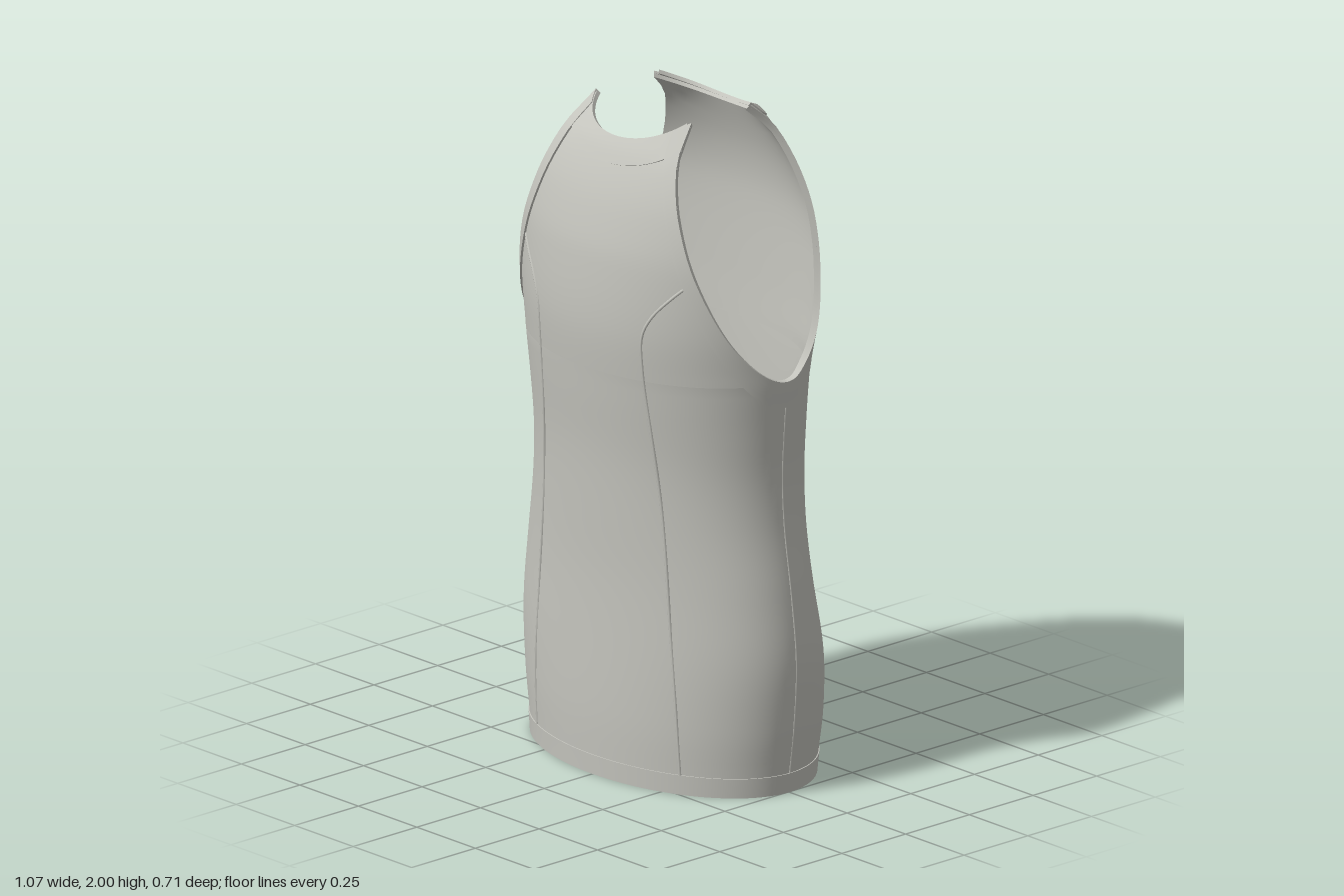
import * as THREE from 'three';
import { toCreasedNormals } from 'three/addons/utils/BufferGeometryUtils.js';

// Smooth curve through [y, value] stations
function profile(stations) {
  const n = stations.length;
  const slope = i => {
    const a = stations[Math.max(i - 1, 0)], b = stations[Math.min(i + 1, n - 1)];
    return (b[1] - a[1]) / (b[0] - a[0]);
  };
  return y => {
    let i = 0;
    while (i < n - 2 && y > stations[i + 1][0]) i++;
    const [y0, v0] = stations[i], [y1, v1] = stations[i + 1];
    const h = y1 - y0, t = (y - y0) / h, t2 = t * t, t3 = t2 * t;
    return (2 * t3 - 3 * t2 + 1) * v0 + (t3 - 2 * t2 + t) * h * slope(i)
      + (3 * t2 - 2 * t3) * v1 + (t3 - t2) * h * slope(i + 1);
  };
}

// Half width of the body, then of the front and back panels above the armpit
const body = [[0, 0.5], [0.06, 0.505], [0.2, 0.523], [0.4, 0.534], [0.6, 0.513], [0.8, 0.483],
  [0.95, 0.474], [1.1, 0.482], [1.2, 0.491], [1.25, 0.496], [1.3, 0.499]];
const widths = {
  front: profile([...body, [1.4, 0.508], [1.5, 0.513], [1.6, 0.515], [1.7, 0.505], [1.8, 0.475],
    [1.9, 0.4], [1.95, 0.32], [2, 0.258]]),
  back: profile([...body, [1.4, 0.525], [1.5, 0.545], [1.6, 0.56], [1.7, 0.545], [1.8, 0.485],
    [1.9, 0.39], [1.95, 0.315], [2, 0.25]]),
};
const depths = {
  front: profile([[0, 0.308], [0.2, 0.314], [0.6, 0.309], [0.8, 0.314], [1, 0.323], [1.2, 0.342],
    [1.4, 0.356], [1.6, 0.343], [1.7, 0.323], [1.8, 0.293], [1.9, 0.247], [1.95, 0.21], [2, 0.16]]),
  back: profile([[0, 0.335], [0.1, 0.347], [0.2, 0.354], [0.35, 0.343], [0.6, 0.292], [0.75, 0.281],
    [1, 0.289], [1.2, 0.295], [1.4, 0.305], [1.6, 0.311], [1.7, 0.308], [1.8, 0.29], [1.9, 0.256],
    [1.95, 0.232], [2, 0.185]]),
};
const THICK = 0.014, BAND = 0.04;
const armLine = y => 0.5 - (y - 1.25) * 0.4;          // slanted armhole plane
const neckY = s => 1.935 + 0.06 * s * s;               // scooped neckline, s = -1..1

// Point on a panel, pushed out along its normal by off
function pointOn(side, theta, y, off = 0) {
  const sign = side === 'front' ? 1 : -1;
  const at = (t, h) => new THREE.Vector3(
    widths[side](h) * Math.sin(t), h, sign * depths[side](h) * Math.cos(t));
  const e = 0.002;
  const du = at(theta + e, y).sub(at(theta - e, y));
  const dv = at(theta, y + e).sub(at(theta, y - e));
  const p = at(theta, y).addScaledVector(du.cross(dv).normalize(), sign * off);
  p.y = Math.max(p.y, 0);
  return p;
}

const angleAt = (side, x, y) => Math.asin(Math.min(1, Math.max(-1, x / widths[side](y))));

// Height at which a line d inside the armhole meets the side seam
function armpit(d) {
  let lo = 1, hi = 1.35;
  for (let i = 0; i < 40; i++) {
    const m = (lo + hi) / 2;
    if (armLine(m) - d > widths.front(m)) lo = m; else hi = m;
  }
  return lo;
}

// Thick sheet over a grid of [theta, y]; rims close its free edges
function sheet(pos, side, fn, nu, nv, out, inn, { bottom = true, sidesFrom = 0 } = {}) {
  const O = [], I = [];
  for (let j = 0; j <= nv; j++) {
    O.push([]); I.push([]);
    for (let i = 0; i <= nu; i++) {
      const [t, y] = fn(i / nu, j);
      O[j].push(pointOn(side, t, y, out));
      I[j].push(pointOn(side, t, y, inn));
    }
  }
  const quad = (a, b, c, d) => {
    const order = side === 'front' ? [a, b, c, a, c, d] : [a, c, b, a, d, c];
    for (const p of order) pos.push(p.x, p.y, p.z);
  };
  for (let j = 0; j < nv; j++) {
    for (let i = 0; i < nu; i++) {
      quad(O[j][i], O[j][i + 1], O[j + 1][i + 1], O[j + 1][i]);
      quad(I[j][i], I[j + 1][i], I[j + 1][i + 1], I[j][i + 1]);
    }
    if (j >= sidesFrom) {
      quad(O[j][nu], I[j][nu], I[j + 1][nu], O[j + 1][nu]);
      quad(O[j][0], O[j + 1][0], I[j + 1][0], I[j][0]);
    }
  }
  for (let i = 0; i < nu; i++) {
    quad(O[nv][i], O[nv][i + 1], I[nv][i + 1], I[nv][i]);
    if (bottom) quad(O[0][i], I[0][i], I[0][i + 1], O[0][i + 1]);
  }
}

// Smooth normals with sharp rims (enlarged while welding because the cloth is thin)
function smooth(pos) {
  const g = new THREE.BufferGeometry();
  g.setAttribute('position', new THREE.Float32BufferAttribute(pos, 3));
  g.scale(1000, 1000, 1000);
  const s = toCreasedNormals(g, 0.8);
  s.scale(0.001, 0.001, 0.001);
  return s;
}

export function createModel() {
  const group = new THREE.Group();
  group.name = 'sleevelessTop';
  const cloth = new THREE.MeshStandardMaterial({ color: 0xc4c4bd });
  cloth.name = 'greyCloth';
  const add = (name, geometry) => {
    const mesh = new THREE.Mesh(geometry, cloth);
    mesh.name = name;
    group.add(mesh);
  };
  const sides = ['front', 'back'];

  // Body: closed tube below the armpits, two tapering panels above
  const LOW = 36, HIGH = 36, pit = armpit(0);
  const bodyPos = [], hemPos = [];
  for (const side of sides) {
    sheet(bodyPos, side, (u, j) => {
      const s = u * 2 - 1;
      if (j <= LOW) return [s * Math.PI / 2, pit * j / LOW];
      const w = (j - LOW) / HIGH;
      const y = pit + (neckY(s) - pit) * w * w;
      return [s * angleAt(side, armLine(y), y), y];
    }, 48, LOW + HIGH, 0, -THICK, { sidesFrom: LOW });
    // Hem: slightly raised fold at the bottom
    sheet(hemPos, side, (u, j) => [(u - 0.5) * Math.PI, 0.06 * j / 2], 48, 2, 0.003, -0.002,
      { sidesFrom: 2 });
  }
  add('body', smooth(bodyPos));
  add('hem', smooth(hemPos));

  // Armhole bindings
  for (const [name, m] of [['leftArmholeBinding', 1], ['rightArmholeBinding', -1]]) {
    const pos = [];
    for (const side of sides) {
      sheet(pos, side, (u, j) => {
        const d = BAND * (m > 0 ? 1 - u : u), w = j / 40, y0 = armpit(d);
        const y = y0 + (neckY(1 - d / 0.2) - y0) * w * w;
        return [m * (j ? angleAt(side, armLine(y) - d, y) : Math.PI / 2), y];
      }, 4, 40, 0.006, -0.002, { bottom: false });
    }
    add(name, smooth(pos));
  }

  // Neck bindings: the back one stands out more
  for (const [side, raise, drop] of [['front', 0.003, 0.07], ['back', 0.01, 0.035]]) {
    const pos = [];
    sheet(pos, side, (u, j) => {
      const s = u * 2 - 1, y = neckY(s) - drop * (1 - j / 4);
      return [s * angleAt(side, armLine(y) - 0.01, y), y];
    }, 30, 4, raise, -0.002);
    add(side + 'NeckBinding', smooth(pos));
  }

  // Raised seams: curved panel seams and straight side seams
  const seam = [[0.365, 1.585], [0.31, 1.53], [0.25, 1.46], [0.222, 1.4], [0.218, 1.3], [0.23, 1.1],
    [0.252, 0.85], [0.28, 0.5], [0.3, 0.25], [0.305, 0.06]];
  const tube = (points, r) =>
    new THREE.TubeGeometry(new THREE.CatmullRomCurve3(points), 80, r, 6);
  for (const [label, m] of [['left', 1], ['right', -1]]) {
    for (const side of sides) {
      add(`${label}${side === 'front' ? 'Front' : 'Back'}Seam`, tube(
        seam.map(([x, y]) => pointOn(side, m * angleAt(side, x, y), y, -0.001)), 0.005));
    }
    const sidePoints = Array.from({ length: 16 }, (_, i) =>
      pointOn('front', m * Math.PI / 2, 0.03 + 1.16 * i / 15, -0.001));
    add(label + 'SideSeam', tube(sidePoints, 0.003));
  }
  return group;
}
